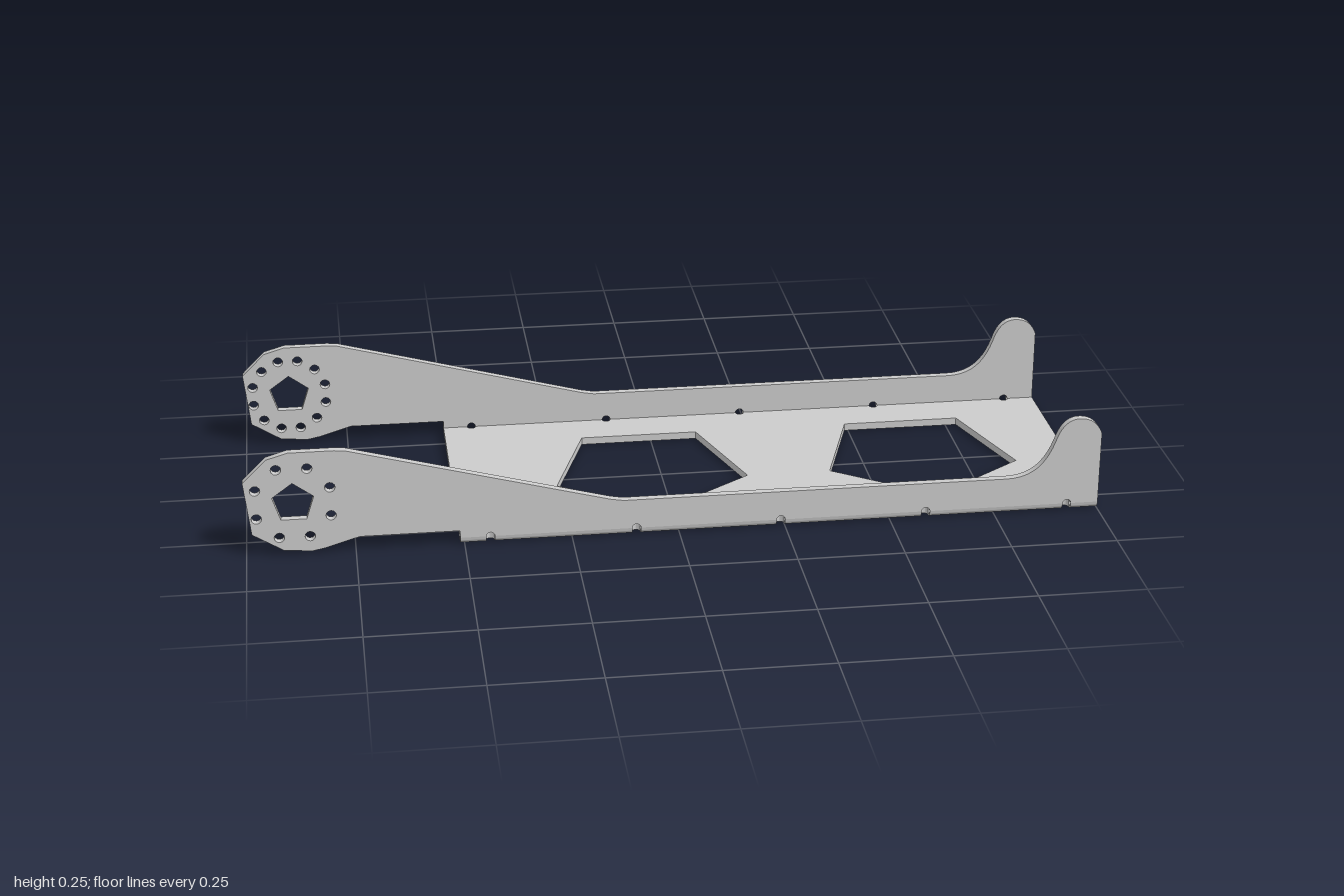
import * as THREE from 'three';
import { toCreasedNormals } from 'three/addons/utils/BufferGeometryUtils.js';

const T = 0.018;      // sheet thickness
const ZI = 0.307;     // inner face of the side walls
const X0 = -0.51;     // rear end of the floor plate
const NOTCH = 0.01;   // half size of the bend relief holes
const RELIEFS = [-0.44, -0.1, 0.24, 0.585, 0.925];
const HUB = [-0.888, 0.129];

const material = new THREE.MeshStandardMaterial({ color: 0xcccccc });

function extrude(shape, depth) {
  const g = new THREE.ExtrudeGeometry(shape, { depth, bevelEnabled: false, curveSegments: 10 });
  return toCreasedNormals(g, 0.6);
}

function addMesh(group, name, geometry) {
  const mesh = new THREE.Mesh(geometry, material);
  mesh.name = name;
  group.add(mesh);
}

// Regular polygon outline used for the cut-outs
function polygon(cx, cy, r, sides, start) {
  const pts = [];
  for (let i = 0; i < sides; i++) {
    const a = start + (i * 2 * Math.PI) / sides;
    pts.push(new THREE.Vector2(cx + r * Math.cos(a), cy + r * Math.sin(a)));
  }
  return new THREE.Path(pts);
}

// Side wall with hub arm at one end and upright horn at the other
function wallShape(boltCount) {
  const s = new THREE.Shape();
  s.moveTo(X0, T);
  for (const x of RELIEFS) {
    s.lineTo(x - NOTCH, T);
    s.absarc(x, T, NOTCH, Math.PI, 0, true);
  }
  s.lineTo(1, T);
  s.lineTo(1, 0.195);
  s.quadraticCurveTo(0.985, 0.235, 0.945, 0.235);
  s.quadraticCurveTo(0.907, 0.235, 0.89, 0.18);
  s.bezierCurveTo(0.87, 0.125, 0.84, 0.09, 0.775, 0.09);
  const arm = [
    [-0.13, 0.09], [-0.16, 0.095], [-0.765, 0.253], [-0.79, 0.255], [-0.895, 0.255],
    [-0.945, 0.24], [-1, 0.185], [-0.985, 0.055], [-0.915, 0.012], [-0.85, 0.006],
    [-0.82, 0.012], [-0.74, 0.036], [X0, 0.036],
  ];
  for (const [x, y] of arm) s.lineTo(x, y);
  s.closePath();

  // Pentagonal hub opening with a ring of bolt holes
  s.holes.push(polygon(HUB[0], HUB[1], 0.05, 5, Math.PI / 2));
  for (let i = 0; i < boltCount; i++) {
    const a = ((i + 0.5) * 2 * Math.PI) / boltCount;
    s.holes.push(polygon(HUB[0] + 0.092 * Math.cos(a), HUB[1] + 0.092 * Math.sin(a), 0.012, 12, 0));
  }
  return s;
}

// Floor plate with two pentagonal windows and relief notches along both edges
function floorShape() {
  const s = new THREE.Shape();
  s.moveTo(X0, -ZI);
  for (const x of RELIEFS) {
    s.lineTo(x - NOTCH, -ZI);
    s.absarc(x, -ZI, NOTCH, Math.PI, 0, true);
  }
  s.lineTo(1, -ZI);
  s.lineTo(1, ZI);
  for (const x of [...RELIEFS].reverse()) {
    s.lineTo(x + NOTCH, ZI);
    s.absarc(x, ZI, NOTCH, 0, -Math.PI, true);
  }
  s.lineTo(X0, ZI);
  s.closePath();
  for (const x of [-0.03, 0.634]) s.holes.push(polygon(x, -0.005, 0.243, 5, Math.PI / 2));
  return s;
}

export function createModel() {
  const group = new THREE.Group();
  group.name = 'bracket';

  const floor = extrude(floorShape(), T);
  floor.rotateX(Math.PI / 2).translate(0, T, 0);
  addMesh(group, 'floorPlate', floor);

  addMesh(group, 'frontWall', extrude(wallShape(8), T).translate(0, 0, ZI));
  addMesh(group, 'backWall', extrude(wallShape(12), T).translate(0, 0, -ZI - T));

  // Rounded bends joining floor and walls, interrupted at the relief holes
  for (const side of [1, -1]) {
    const bend = new THREE.Group();
    bend.name = side > 0 ? 'frontBend' : 'backBend';
    const start = side > 0 ? Math.PI : 1.5 * Math.PI;
    const pie = new THREE.Shape();
    pie.moveTo(-side * ZI, T);
    pie.absarc(-side * ZI, T, T, start, start + Math.PI / 2, false);
    pie.closePath();
    let x = X0;
    for (const stop of [...RELIEFS, 1 + NOTCH]) {
      const g = extrude(pie, stop - NOTCH - x);
      g.rotateY(Math.PI / 2).translate(x, 0, 0);
      addMesh(bend, 'bendSegment', g);
      x = stop + NOTCH;
    }
    group.add(bend);
  }
  return group;
}
